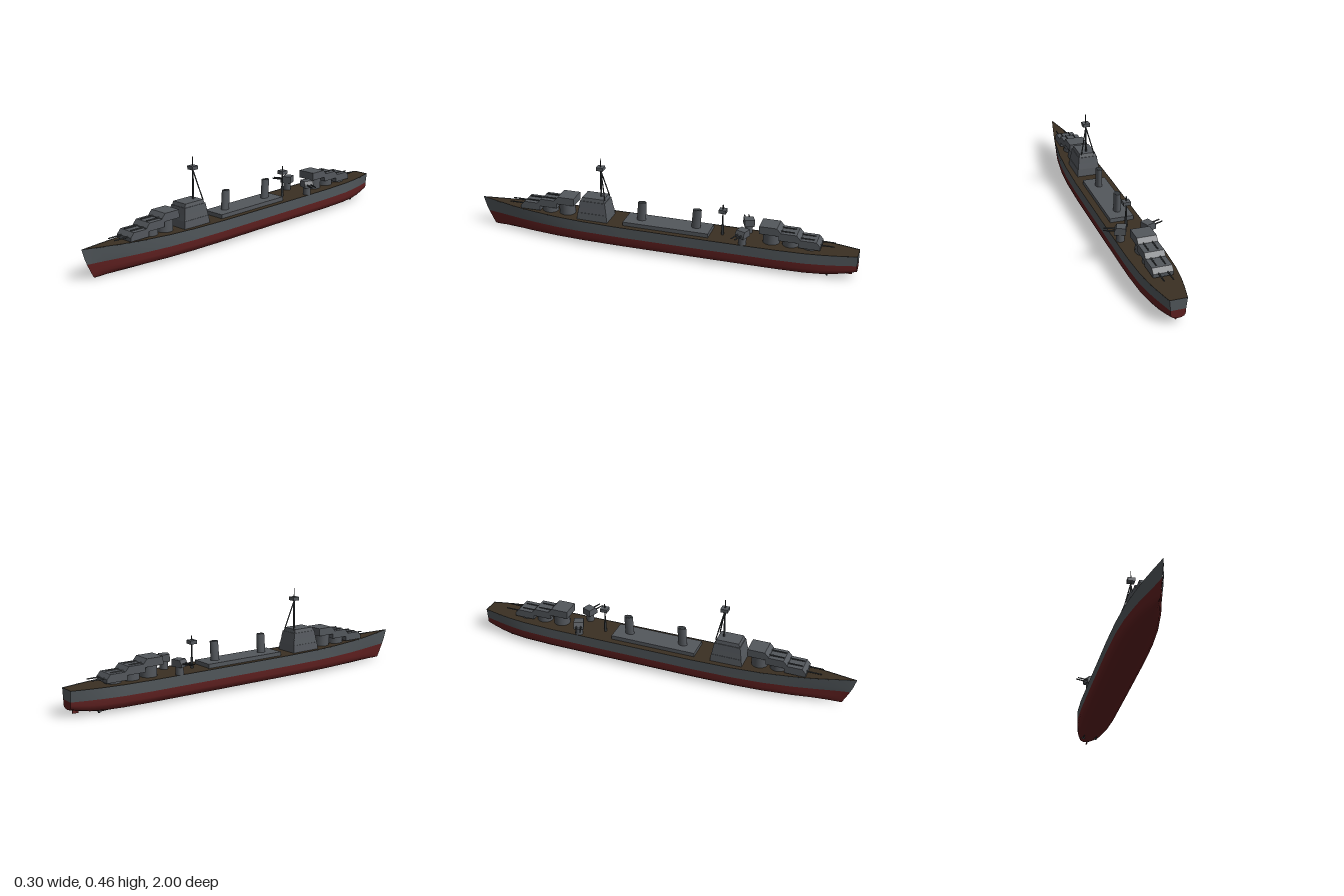
import * as THREE from 'three';

const mat = (name, color, extra = {}) => {
  const m = new THREE.MeshStandardMaterial({ color, ...extra });
  m.name = name;
  return m;
};

export function createModel() {
  const ship = new THREE.Group();
  ship.name = 'warship';
  const hullGrey = mat('hull grey', 0x50565a, { side: THREE.DoubleSide });
  const hullRed = mat('hull red', 0x5e1f1f, { side: THREE.DoubleSide });
  const deckBrown = mat('deck brown', 0x3a2f22);
  const grey = mat('structure grey', 0x53575c);
  const dark = mat('gun grey', 0x34383b);

  const add = (name, geo, material, parent = ship) => {
    const m = new THREE.Mesh(geo, material);
    m.name = name;
    parent.add(m);
    return m;
  };

  // Skin a grid of points; rows are cross-sections
  function loft(rows) {
    const n = rows[0].length, index = [];
    for (let i = 0; i < rows.length - 1; i++) {
      for (let j = 0; j < n - 1; j++) {
        const a = i * n + j, b = a + n;
        index.push(a, b, a + 1, b, b + 1, a + 1);
      }
    }
    const g = new THREE.BufferGeometry();
    g.setAttribute('position', new THREE.Float32BufferAttribute(rows.flat(2), 3));
    g.setIndex(index);
    g.computeVertexNormals();
    return g;
  }

  // Box whose top has its own width and depth, standing on y = 0
  function taperedBox(w, d, topW, topD, h) {
    const g = new THREE.BoxGeometry(w, h, d).translate(0, h / 2, 0);
    const p = g.attributes.position;
    for (let i = 0; i < p.count; i++) {
      if (p.getY(i) > h / 2) {
        p.setX(i, p.getX(i) * topW / w);
        p.setZ(i, p.getZ(i) * topD / d);
      }
    }
    g.computeVertexNormals();
    return g;
  }

  // Round bar between two points
  function bar(name, from, to, r0, r1, material, parent = ship) {
    const a = new THREE.Vector3(...from), b = new THREE.Vector3(...to);
    const m = add(name, new THREE.CylinderGeometry(r1, r0, a.distanceTo(b), 10), material, parent);
    m.position.copy(a).lerp(b, 0.5);
    m.quaternion.setFromUnitVectors(new THREE.Vector3(0, 1, 0), b.sub(a).normalize());
    return m;
  }

  // Hull stations: z, half width, edge height, keel height, waterline fullness, bow rake
  const stations = [
    [-1, 0.042, 0.128, 0.032, 0.85, 0], [-0.95, 0.054, 0.128, 0.02, 0.9, 0],
    [-0.9, 0.065, 0.128, 0.011, 0.94, 0], [-0.84, 0.076, 0.128, 0.005, 0.97, 0],
    [-0.75, 0.087, 0.128, 0.003, 1, 0], [-0.6, 0.094, 0.128, 0.003, 1, 0],
    [-0.3, 0.095, 0.128, 0.003, 1, 0], [0.2, 0.095, 0.129, 0.003, 1, 0],
    [0.4, 0.091, 0.131, 0.003, 0.99, 0], [0.55, 0.082, 0.134, 0.003, 0.96, 0],
    [0.7, 0.063, 0.138, 0.003, 0.9, 0], [0.8, 0.046, 0.142, 0.003, 0.82, 0.25],
    [0.9, 0.024, 0.147, 0.003, 0.72, 0.6], [0.96, 0.01, 0.15, 0.003, 0.65, 0.85],
    [1, 0.0008, 0.152, 0.004, 0.6, 1],
  ];
  const WATER = 0.074;
  const bilge = [[1, 0.6], [0.95, 0.38], [0.8, 0.18], [0.45, 0.05], [0, 0]];
  const sections = stations.map(([z, hw, top, keel, full, rake]) => {
    const half = [[hw, top], [hw * (1 + full) / 2, 0.1], [hw * full, WATER],
      ...bilge.map(([fx, fy]) => [hw * full * fx, keel + (WATER - keel) * fy])]
      .map(([x, y]) => [x, y, z - 0.065 * rake * ((top - y) / top) ** 1.3]);
    const mirrored = half.slice(0, -1).reverse().map(([x, y, zz]) => [-x, y, zz]);
    return [...half, ...mirrored];
  });
  add('hullSideLeft', loft(sections.map(s => s.slice(0, 3))), hullGrey);
  add('hullSideRight', loft(sections.map(s => s.slice(-3))), hullGrey);
  add('hullBottom', loft(sections.map(s => s.slice(2, -2))), hullRed);
  add('deck', loft(stations.map(([z, hw, top]) =>
    [[-hw, top - 0.003, z], [hw, top - 0.003, z]])), deckBrown);

  // Flat transom, split at the waterline
  const sternHalf = sections[0].slice(0, 8);
  const flip = pts => pts.map(([x, y, z]) => [-x, y, z]);
  const upper = sternHalf.slice(0, 3), lower = sternHalf.slice(2);
  add('transomUpper', loft([flip(upper), upper]), hullGrey);
  add('transomLower', loft([flip(lower), lower]), hullRed);

  // Rudder and propellers
  add('rudder', new THREE.BoxGeometry(0.006, 0.035, 0.03), hullRed).position.set(0, 0.027, -0.96);
  for (const s of [-1, 1]) {
    bar('propellerShaft', [s * 0.035, 0.012, -0.78], [s * 0.035, 0.008, -0.86], 0.003, 0.003, dark);
    bar('propeller', [s * 0.035, 0.008, -0.855], [s * 0.035, 0.008, -0.861], 0.008, 0.008, dark);
  }

  // Gun turret facing +z: sloped house, twin barrels and a round base down to the deck
  function turret(name, w, l, h, baseRadius, baseHeight, gunX, gunLength) {
    const g = new THREE.Group();
    g.name = name;
    const side = new THREE.Shape([
      [-l / 2, 0], [l / 2, 0], [l / 2, h * 0.45], [l * 0.32, h], [-l / 2, h],
    ].map(p => new THREE.Vector2(...p)));
    const house = new THREE.ExtrudeGeometry(side, { depth: w, bevelEnabled: false });
    house.translate(0, 0, -w / 2).rotateY(-Math.PI / 2);
    add('gunHouse', house, grey, g);
    add('gunBase', new THREE.CylinderGeometry(baseRadius, baseRadius, baseHeight, 24), grey, g)
      .position.y = -baseHeight / 2;
    for (const s of [-1, 1]) {
      bar('gunBarrel', [s * gunX, h * 0.45, l * 0.4], [s * gunX, h * 0.45, l / 2 + gunLength],
        0.004, 0.003, dark, g);
    }
    ship.add(g);
    return g;
  }

  // Three stepped main turrets at each end
  for (let i = 0; i < 3; i++) {
    const y = 0.14 + i * 0.025;
    turret('foreTurret', 0.097, 0.108, 0.04, 0.042, y - 0.12, 0.022, 0.072)
      .position.set(0, y, 0.705 - i * 0.095);
    const aft = turret('aftTurret', 0.097, 0.108, 0.04, 0.042, y - 0.12, 0.022, 0.065);
    aft.position.set(0, y - 0.005 - i * 0.002, -0.765 + i * 0.098);
    aft.rotation.y = Math.PI;
  }

  // Secondary gun on each side
  for (const s of [-1, 1]) {
    const g = turret('sideTurret', 0.05, 0.056, 0.036, 0.02, 0.042, 0.011, 0.052);
    g.position.set(s * 0.07, 0.165, -0.438);
    g.rotation.y = s * 1.19;
  }

  // Bridge tower in overhanging tapered tiers
  const tiers = [
    [0.12, 0.045, 0.126, 0.168], [0.165, 0.03, 0.114, 0.156],
    [0.195, 0.032, 0.106, 0.146], [0.227, 0.018, 0.092, 0.128],
  ];
  for (const [y, h, w, d] of tiers) {
    add('bridgeTier', taperedBox(w, d, w - 0.008, d - 0.012, h), grey).position.set(0, y, 0.357);
  }

  // Fore tripod mast
  bar('foreMast', [0, 0.24, 0.325], [0, 0.39, 0.325], 0.005, 0.004, dark);
  bar('foreTopmast', [0, 0.39, 0.325], [0, 0.455, 0.325], 0.003, 0.002, dark);
  add('foreLookout', new THREE.BoxGeometry(0.037, 0.018, 0.037), grey).position.set(0, 0.401, 0.325);
  for (const s of [-1, 1]) {
    bar('mastLeg', [s * 0.035, 0.24, 0.293], [0, 0.385, 0.323], 0.003, 0.003, dark);
  }

  // Aft mast
  bar('aftMastFoot', [0, 0.12, -0.32], [0, 0.18, -0.32], 0.007, 0.006, dark);
  bar('aftMast', [0, 0.18, -0.32], [0, 0.288, -0.32], 0.004, 0.003, dark);
  add('aftLookout', new THREE.BoxGeometry(0.037, 0.018, 0.037), grey).position.set(0, 0.256, -0.32);

  // Deckhouse and two raked oval funnels
  add('deckhouse', new THREE.BoxGeometry(0.12, 0.027, 0.45), grey).position.set(0, 0.1325, -0.035);
  for (const z of [0.105, -0.185]) {
    const pipe = new THREE.CylinderGeometry(0.016, 0.017, 0.1, 24).scale(1, 1, 1.4);
    const mouth = new THREE.CylinderGeometry(0.013, 0.013, 0.002, 24).scale(1, 1, 1.4);
    mouth.translate(0, 0.05, 0);
    const lean = new THREE.Matrix4().set(1, 0, 0, 0, 0, 1, 0, 0, 0, -0.06, 1, 0, 0, 0, 0, 1);
    add('funnel', pipe.applyMatrix4(lean), grey).position.set(0, 0.193, z);
    add('funnelMouth', mouth.applyMatrix4(lean), dark).position.set(0, 0.193, z);
  }
  return ship;
}
